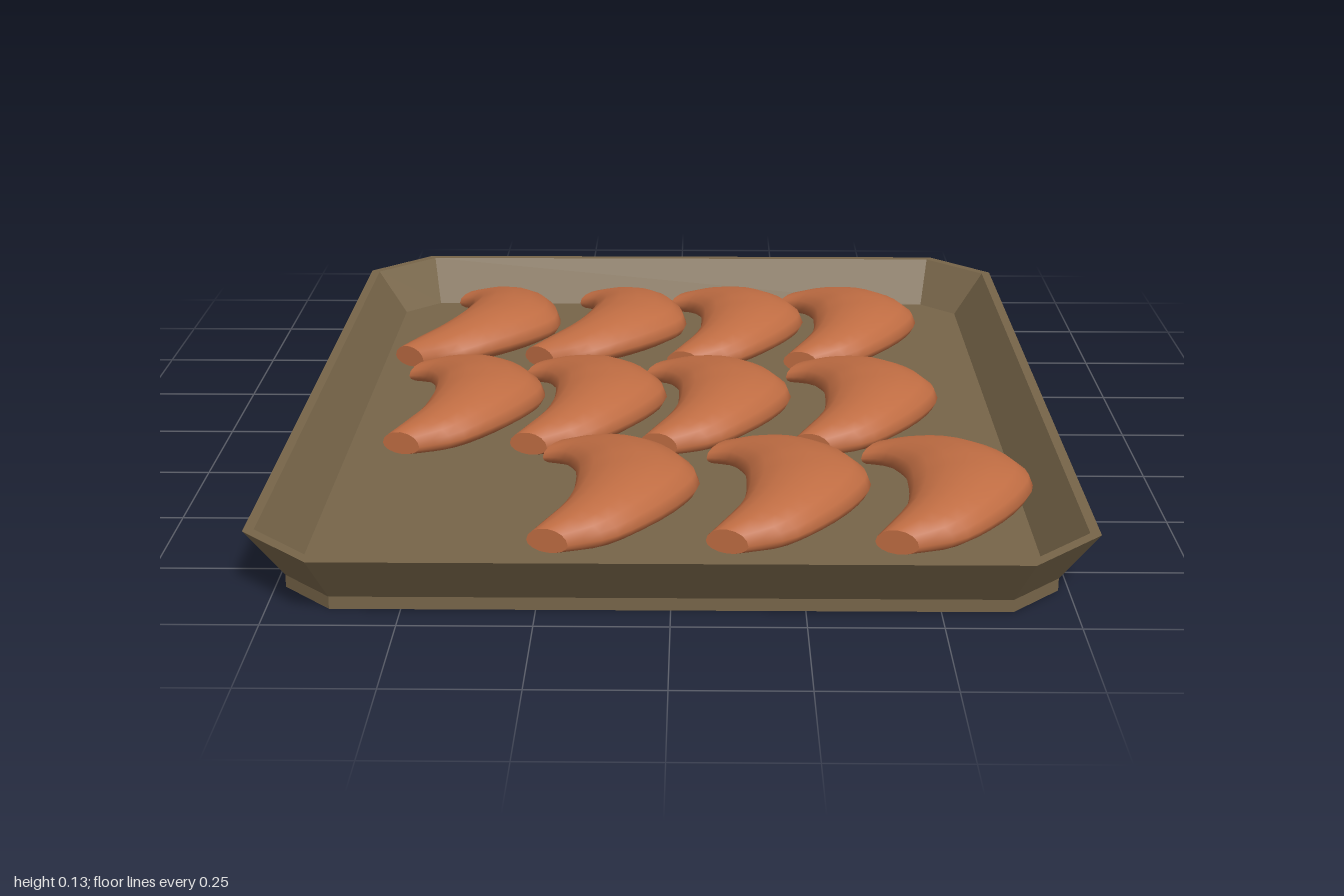
import * as THREE from 'three';

const FLOOR = 0.025;

// Joins closed rings of points into a skin; caps get their own vertices for a crisp edge.
function loft(rings) {
  const n = rings[0].length, pos = [], index = [];
  rings.forEach(r => r.forEach(p => pos.push(p.x, p.y, p.z)));
  for (let i = 0; i < rings.length - 1; i++) {
    for (let j = 0; j < n; j++) {
      const a = i * n + j, b = i * n + (j + 1) % n;
      index.push(a, b, a + n, b, b + n, a + n);
    }
  }
  [[rings[0], false], [rings[rings.length - 1], true]].forEach(([ring, end]) => {
    const c = pos.length / 3;
    const mid = ring.reduce((s, p) => s.add(p), new THREE.Vector3()).divideScalar(n);
    [mid, ...ring].forEach(p => pos.push(p.x, p.y, p.z));
    for (let j = 0; j < n; j++) {
      const a = c + 1 + j, b = c + 1 + (j + 1) % n;
      if (end) index.push(c, a, b); else index.push(c, b, a);
    }
  });
  const g = new THREE.BufferGeometry();
  g.setAttribute('position', new THREE.Float32BufferAttribute(pos, 3));
  g.setIndex(index);
  return g;
}

// Rectangle with cut corners at height y
function octagon(x, z, cut, y) {
  return [[x, z - cut], [x - cut, z], [cut - x, z], [-x, z - cut],
    [-x, cut - z], [cut - x, -z], [x - cut, -z], [x, cut - z]]
    .map(([px, pz]) => new THREE.Vector3(px, y, pz)).reverse();
}

function trayGeometry() {
  const flat = loft([
    octagon(0.73, 0.93, 0.097, 0),
    octagon(0.73, 0.93, 0.097, FLOOR),
    octagon(0.80, 1.00, 0.14, 0.125),
    octagon(0.78, 0.98, 0.13, 0.125),
    octagon(0.71, 0.90, 0.08, FLOOR),
  ]).toNonIndexed();
  flat.computeVertexNormals();
  return flat;
}

// Crescent cross-sections: inner x, z, outer x, z, height
const SECTIONS = [
  [-0.163, -0.204, -0.083, -0.267, 0.050],
  [-0.125, -0.180, 0.010, -0.246, 0.070],
  [-0.093, -0.110, 0.090, -0.180, 0.091],
  [-0.083, -0.050, 0.150, -0.080, 0.104],
  [-0.082, 0.000, 0.171, 0.000, 0.106],
  [-0.085, 0.060, 0.140, 0.087, 0.104],
  [-0.100, 0.130, 0.067, 0.190, 0.091],
  [-0.140, 0.200, 0.000, 0.246, 0.070],
  [-0.165, 0.235, -0.083, 0.264, 0.050],
];

function crescentGeometry() {
  const sides = 16, steps = 20;
  const curve = f => new THREE.CatmullRomCurve3(SECTIONS.map(f));
  const inner = curve(s => new THREE.Vector3(s[0], s[4], s[1]));
  const outer = curve(s => new THREE.Vector3(s[2], s[4], s[3]));
  const rings = [];
  for (let i = 0; i <= steps; i++) {
    const p = inner.getPoint(i / steps), q = outer.getPoint(i / steps);
    const mid = p.clone().add(q).multiplyScalar(0.5), half = q.clone().sub(mid);
    const h = p.y, belly = 0.42 * h, ring = [];
    for (let j = 0; j < sides; j++) {
      const a = j / sides * Math.PI * 2, s = Math.sin(a), c = Math.cos(a);
      ring.push(new THREE.Vector3(mid.x + half.x * c,
        FLOOR + belly + s * (s > 0 ? h - belly : belly), mid.z + half.z * c));
    }
    rings.push(ring);
  }
  const g = loft(rings);
  g.computeVertexNormals();
  return g;
}

export function createModel() {
  const trayBrown = new THREE.MeshStandardMaterial({ color: 0x776549 });
  trayBrown.name = 'tray brown';
  const bakedOrange = new THREE.MeshStandardMaterial({ color: 0xc06d43 });
  bakedOrange.name = 'baked orange';

  const model = new THREE.Group();
  model.name = 'bakingTray';
  const tray = new THREE.Mesh(trayGeometry(), trayBrown);
  tray.name = 'tray';
  model.add(tray);

  // Pastries: x, z, turn
  const pastry = crescentGeometry();
  const pastries = new THREE.Group();
  pastries.name = 'pastries';
  [
    [-0.465, -0.598, -0.25], [-0.152, -0.598, -0.25], [0.137, -0.605, 0], [0.417, -0.605, 0],
    [-0.468, -0.05, 0], [-0.193, -0.05, 0], [0.087, -0.05, 0], [0.417, -0.05, 0],
    [-0.118, 0.475, 0], [0.23, 0.475, 0], [0.558, 0.475, 0],
  ].forEach(([x, z, turn], i) => {
    const mesh = new THREE.Mesh(pastry, bakedOrange);
    mesh.name = `crescentPastry${i + 1}`;
    mesh.position.set(x, 0, z);
    mesh.rotation.y = turn;
    pastries.add(mesh);
  });
  model.add(pastries);
  return model;
}
